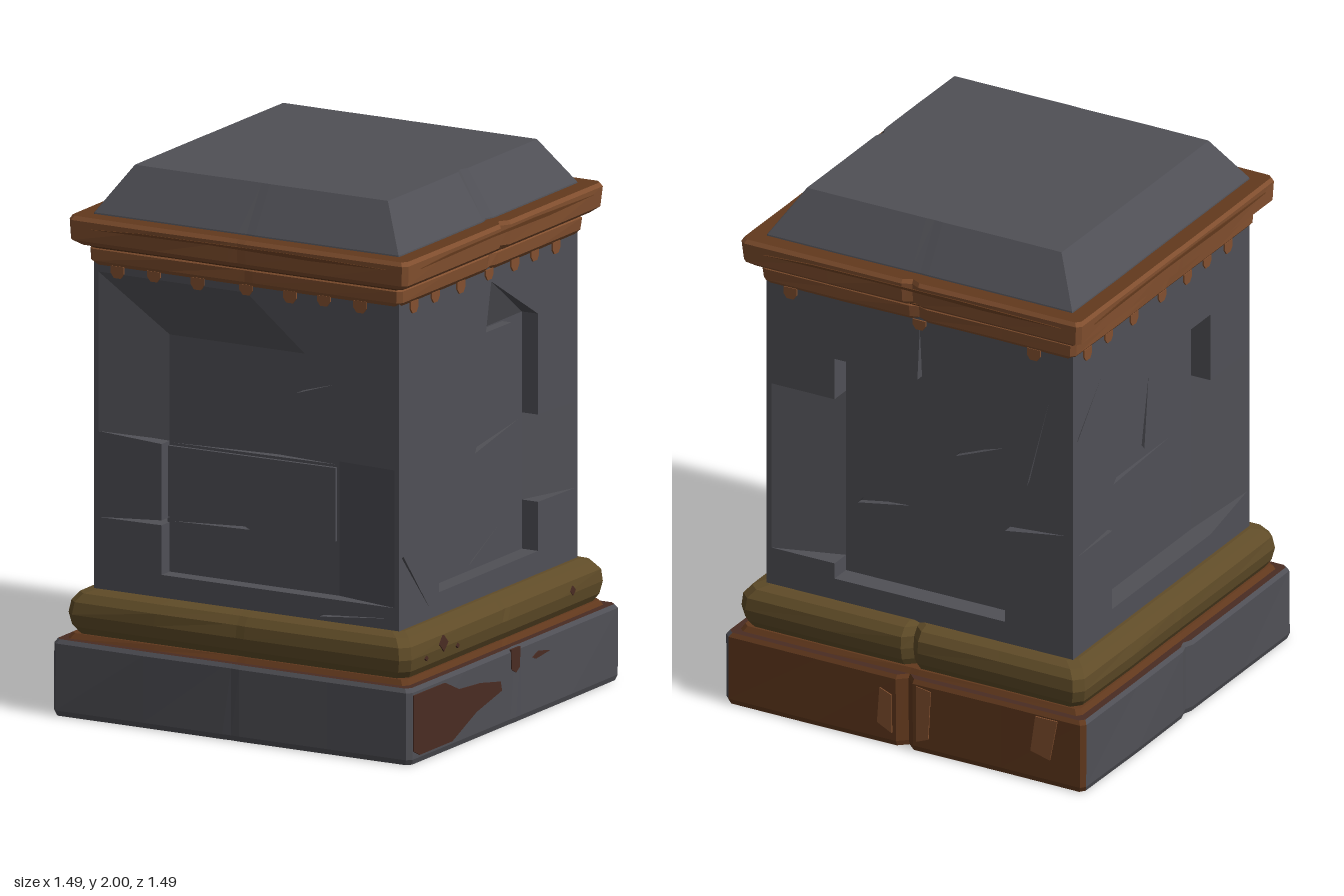
import * as THREE from 'three';

const mat = (name, color) => {
  const m = new THREE.MeshStandardMaterial({ color });
  m.name = name;
  return m;
};

export function createModel() {
  const stone = mat('grey stone', 0x505056);
  const copper = mat('copper', 0x83502f);
  const rust = mat('rust', 0x62391d);
  const darkRust = mat('dark rust', 0x4a2c23);
  const bronze = mat('bronze', 0x604c28);
  for (const m of [stone, copper, rust, darkRust, bronze]) m.flatShading = true;

  const model = new THREE.Group();
  model.name = 'pedestal';
  // Four side groups: front, +x side, back, -x side
  const sides = ['front', 'left', 'back', 'right'].map((name, i) => {
    const g = new THREE.Group();
    g.name = name + 'Side';
    g.rotation.y = i * Math.PI / 2;
    model.add(g);
    return g;
  });

  const hash = (a, b) => {
    const v = Math.sin(a * 12.99 + b * 78.23) * 43758.5;
    return v - Math.floor(v);
  };

  // Square rings stacked along a [half width, height] profile, worn corners,
  // a V-shaped notch in the middle of each side, closed top and bottom.
  // Materials: one per side, then top, then bottom.
  function loft(name, profile, materials, { corner = 0.02, notch = [0, 0, 0, 0], wear = 0.005 } = {}) {
    const us = [-1, -0.5, -0.035, 0, 0.035, 0.55, 1];
    const n = us.length;
    const rings = profile.map(([h, y], r) => {
      const ring = [];
      for (let s = 0; s < 4; s++) {
        us.forEach((u, k) => {
          const x = Math.abs(u) < 0.1 ? u : u * (h - corner);
          const z = h - (k === 3 ? notch[s] : 0) - wear * hash(s * n + k, r < profile.length / 2 ? 1 : 2);
          ring.push(new THREE.Vector3(x, y, z).applyAxisAngle(new THREE.Vector3(0, 1, 0), s * Math.PI / 2));
        });
      }
      return ring;
    });
    const pos = [];
    const geo = new THREE.BufferGeometry();
    const add = (...pts) => pts.forEach(p => pos.push(p.x, p.y, p.z));
    const close = (start, index) => geo.addGroup(start, pos.length / 3 - start, index);
    const total = 4 * n;
    for (let s = 0; s < 4; s++) {
      const start = pos.length / 3;
      for (let r = 0; r < rings.length - 1; r++) {
        for (let k = s * n; k < s * n + n; k++) {
          const j = (k + 1) % total;
          const a = rings[r][k], b = rings[r][j], c = rings[r + 1][j], d = rings[r + 1][k];
          add(a, b, c, a, c, d);
        }
      }
      close(start, s);
    }
    [[rings.length - 1, 4], [0, 5]].forEach(([r, index]) => {
      const start = pos.length / 3;
      const mid = new THREE.Vector3(0, profile[r][1], 0);
      for (let k = 0; k < total; k++) {
        const a = rings[r][k], b = rings[r][(k + 1) % total];
        index === 4 ? add(mid, a, b) : add(mid, b, a);
      }
      close(start, index);
    });
    geo.setAttribute('position', new THREE.Float32BufferAttribute(pos, 3));
    geo.computeVertexNormals();
    const mesh = new THREE.Mesh(geo, materials);
    mesh.name = name;
    model.add(mesh);
  }
  const all = (m, top = m) => [m, m, m, m, top, m];
  const toPoints = list => list.map(([x, y]) => new THREE.Vector2(x, y));

  // Extruded outline on one side, from depth z outward
  function plate(side, name, outline, z, depth, material, holes = []) {
    const shape = new THREE.Shape(toPoints(outline));
    holes.forEach(h => shape.holes.push(new THREE.Path(toPoints(h))));
    const geo = new THREE.ExtrudeGeometry(shape, { depth, bevelEnabled: false });
    const mesh = new THREE.Mesh(geo, material);
    mesh.name = name;
    mesh.position.z = z;
    sides[side].add(mesh);
    return mesh;
  }

  // Narrow the back of a frame so that neighbouring frames meet in a mitre
  function mitre(mesh, limit) {
    const p = mesh.geometry.attributes.position;
    for (let i = 0; i < p.count; i++) {
      if (p.getZ(i) < 0.01) p.setX(i, THREE.MathUtils.clamp(p.getX(i), -limit, limit));
    }
    mesh.geometry.computeVertexNormals();
  }

  // Sloping stone face, corners counter-clockwise as seen from outside
  function slope(side, name, corners) {
    const geo = new THREE.BufferGeometry();
    geo.setAttribute('position', new THREE.Float32BufferAttribute(corners.flat(), 3));
    geo.setIndex(corners.length === 4 ? [0, 1, 2, 0, 2, 3] : [0, 1, 2]);
    geo.computeVertexNormals();
    const mesh = new THREE.Mesh(geo, stone);
    mesh.name = name;
    sides[side].add(mesh);
  }

  // Plinth, rusted on its back, with a stained ledge
  loft('plinth', [[0.735, 0], [0.742, 0.02], [0.742, 0.265], [0.732, 0.28]],
    [stone, stone, rust, stone, darkRust, stone], { notch: [0, 0, 0.03, 0.012] });
  loft('plinthRust', [[0.705, 0.279], [0.692, 0.299]], all(rust), { wear: 0.004 });

  // Rounded bronze moulding
  loft('baseMoulding', [[0.675, 0.285], [0.7, 0.325], [0.709, 0.37], [0.703, 0.415], [0.68, 0.445], [0.645, 0.457]],
    all(bronze), { corner: 0.035, notch: [0, 0, 0.03, 0] });

  // Shaft core
  const core = new THREE.Mesh(new THREE.BoxGeometry(1.05, 1.22, 1.05), stone);
  core.name = 'shaftCore';
  core.position.y = 1.04;
  model.add(core);

  // Niche outlines with cracks and broken-away blocks in the surrounding stone
  const niches = [
    [[-0.35, 0.54], [0.61, 0.54], [0.61, 1.045], [0.35, 1.05], [0.35, 1.41], [0.26, 1.41], [0, 1.62],
      [-0.61, 1.62], [-0.61, 1.035], [-0.35, 1.02], [-0.35, 0.74], [-0.61, 0.72], [-0.35, 0.722]],
    [[-0.35, 0.54], [0.35, 0.54], [0.35, 0.72], [0.61, 0.715], [0.61, 1.03], [0.35, 1.04],
      [0.35, 1.41], [0.02, 1.6], [-0.02, 1.41], [-0.35, 1.41]],
    [[-0.35, 0.54], [0.35, 0.54], [0.35, 0.9], [0.6, 0.94], [0.35, 0.92], [0.35, 1.41], [0.01, 1.41], [0, 1.62],
      [-0.01, 1.41], [-0.35, 1.41], [-0.35, 1.25], [-0.61, 1.25], [-0.61, 0.6], [-0.35, 0.6]],
    [[-0.35, 0.54], [0.35, 0.54], [0.61, 0.6], [0.61, 1.15], [0.35, 1.15], [0.35, 1.41], [-0.35, 1.41],
      [-0.35, 0.87], [-0.6, 0.85], [-0.35, 0.85]],
  ];
  const edgeCracks = [
    [[0.3, 0.47], [0.6, 0.5], [0.31, 0.478]],
    [[-0.61, 0.72], [-0.41, 0.49], [-0.6, 0.725]],
    [[0.44, 1.1], [0.53, 1.45], [0.45, 1.12]],
    [[-0.6, 1.3], [-0.42, 1.5], [-0.59, 1.32]],
  ];
  // Thin wedge cracks cut into the niche panels
  const panelCracks = [
    [[[-0.34, 1.015], [0.34, 1.02], [0.1, 1.027]], [[-0.34, 0.727], [-0.02, 0.735], [-0.04, 0.745]],
      [[0.17, 1.26], [0.34, 1.315], [0.2, 1.275]]],
    [[[0.02, 0.96], [0.32, 1.02], [0.03, 0.982]], [[-0.02, 0.56], [0.18, 0.66], [-0.01, 0.57]]],
    [[[-0.3, 0.82], [-0.08, 0.86], [-0.28, 0.845]], [[0.1, 1.1], [0.3, 1.18], [0.12, 1.125]]],
    [[[-0.2, 0.95], [0.2, 0.97], [-0.18, 0.97]], [[0.02, 1.0], [0.05, 1.28], [0.0, 1.02]]],
  ];
  const face = 0.629, back = 0.52;
  const panelZ = [0.572, 0.562, 0.548, 0.548];
  const rect = (w, y0, y1) => [[-w, y0], [w, y0], [w, y1], [-w, y1]];
  for (let s = 0; s < 4; s++) {
    mitre(plate(s, 'shaftFrame', rect(face, 0.44, 1.66), back, face - back, stone, [niches[s], edgeCracks[s]]), back);
    plate(s, 'nichePanel', rect(0.36, 0.53, 1.42), back, panelZ[s] - back, stone, panelCracks[s]);
  }

  // Broken blocks beside the niches, sloping in to the panels
  const [pf, pl, pb, pr] = panelZ;
  slope(0, 'brokenBlock', [[-0.61, 1.03, face], [-0.35, 1.015, pf], [-0.35, 1.41, pf], [-0.61, 1.62, face]]);
  slope(0, 'brokenBlock', [[-0.35, 1.41, pf], [0, 1.62, face], [-0.61, 1.62, face]]);
  slope(0, 'brokenBlock', [[0.35, 0.54, pf], [0.61, 0.54, face], [0.61, 1.05, face], [0.35, 1.055, pf]]);
  slope(1, 'brokenBlock', [[0.35, 0.715, pl], [0.61, 0.71, face], [0.61, 1.035, face], [0.35, 1.045, pl]]);
  slope(2, 'brokenBlock', [[-0.61, 0.6, face], [-0.35, 0.6, pb], [-0.35, 1.25, pb], [-0.61, 1.25, face]]);
  slope(3, 'brokenBlock', [[0.35, 0.54, pr], [0.61, 0.6, face], [0.61, 1.15, face], [0.35, 1.15, pr]]);
  // Broken, sloping stone above two niches
  slope(0, 'brokenLintel', [[-0.35, 1.41, pf], [0.26, 1.41, pf], [0, 1.62, face]]);
  slope(1, 'brokenLintel', [[-0.02, 1.41, pl], [0.35, 1.41, pl], [0.02, 1.6, face]]);

  // Proud pieces left in the niches
  plate(1, 'panelRemnant', [[-0.35, 1.04], [-0.22, 1.03], [-0.185, 1.24], [0.2, 1.275], [0.21, 1.405], [-0.35, 1.41]],
    0.55, 0.05, stone);
  plate(0, 'panelBlock', [[-0.35, 0.745], [0.1, 0.75], [0.34, 0.74], [0.34, 1.01], [-0.35, 1.005]], 0.56, 0.024, stone);

  // Copper cornice: band, neck and slab
  loft('corniceBand', [[0.628, 1.643], [0.645, 1.662], [0.648, 1.705], [0.64, 1.715]], all(copper),
    { notch: [0, 0.01, 0.01, 0] });
  loft('corniceNeck', [[0.64, 1.708], [0.672, 1.73]], all(rust), { wear: 0.003 });
  loft('corniceSlab', [[0.67, 1.722], [0.697, 1.742], [0.702, 1.815], [0.694, 1.83]], all(copper, rust),
    { notch: [0, 0.02, 0.015, 0] });
  for (let s = 0; s < 4; s++) {
    plate(s, 'corniceStreak', [[-0.6, 1.79], [-0.1, 1.796], [0.3, 1.79], [0.62, 1.797], [0.2, 1.805], [-0.4, 1.801]],
      0.698, 0.005, rust);
  }

  // Drips under the cornice, sparse at the back
  [-0.53, -0.38, -0.2, 0, 0.18, 0.32, 0.47].forEach((x, i) => {
    const w = 0.027, bottom = 1.606 + 0.006 * (i % 2);
    const outline = [[x - w, 1.65], [x - w, bottom + 0.018], [x - w * 0.5, bottom], [x + w * 0.5, bottom],
      [x + w, bottom + 0.018], [x + w, 1.65]];
    for (let s = 0; s < 4; s++) {
      if (s !== 2 || i % 3 === 0) plate(s, 'drip', outline, 0.627, 0.008, copper);
    }
  });

  // Bevelled stone cap
  loft('cap', [[0.632, 1.825], [0.63, 1.835], [0.525, 2]], all(stone), { corner: 0.004, notch: [0, 0.012, 0, 0], wear: 0.003 });

  // Rust stains on the plinth and moulding
  const stains = [
    [[-0.72, 0.05], [-0.68, 0.03], [-0.45, 0.03], [-0.28, 0.1], [-0.1, 0.14], [-0.11, 0.175], [-0.25, 0.2],
      [-0.4, 0.21], [-0.5, 0.255], [-0.72, 0.255]],
    [[-0.035, 0.275], [-0.03, 0.2], [0, 0.185], [0.025, 0.2], [0.03, 0.275]],
    [[0.115, 0.215], [0.14, 0.205], [0.24, 0.215], [0.16, 0.23]],
  ];
  stains.forEach(p => plate(1, 'plinthStain', p, 0.736, 0.008, darkRust));
  [[-0.45, 0.385, 0.03], [0.46, 0.38, 0.018], [-0.57, 0.355, 0.01], [-0.35, 0.355, 0.01]].forEach(([x, y, r]) =>
    plate(1, 'mouldingSpot', [[x - r, y], [x, y - r], [x + r, y], [x, y + r]], 0.703, 0.007, darkRust));
  const patches = [
    [[0.05, 0.04], [0.1, 0.06], [0.11, 0.25], [0.05, 0.26]],
    [[-0.11, 0.08], [-0.05, 0.05], [-0.05, 0.2], [-0.1, 0.22]],
    [[0.52, 0.12], [0.6, 0.1], [0.63, 0.26], [0.54, 0.26]],
  ];
  patches.forEach(p => plate(2, 'copperPatch', p, 0.736, 0.008, copper));

  return model;
}
